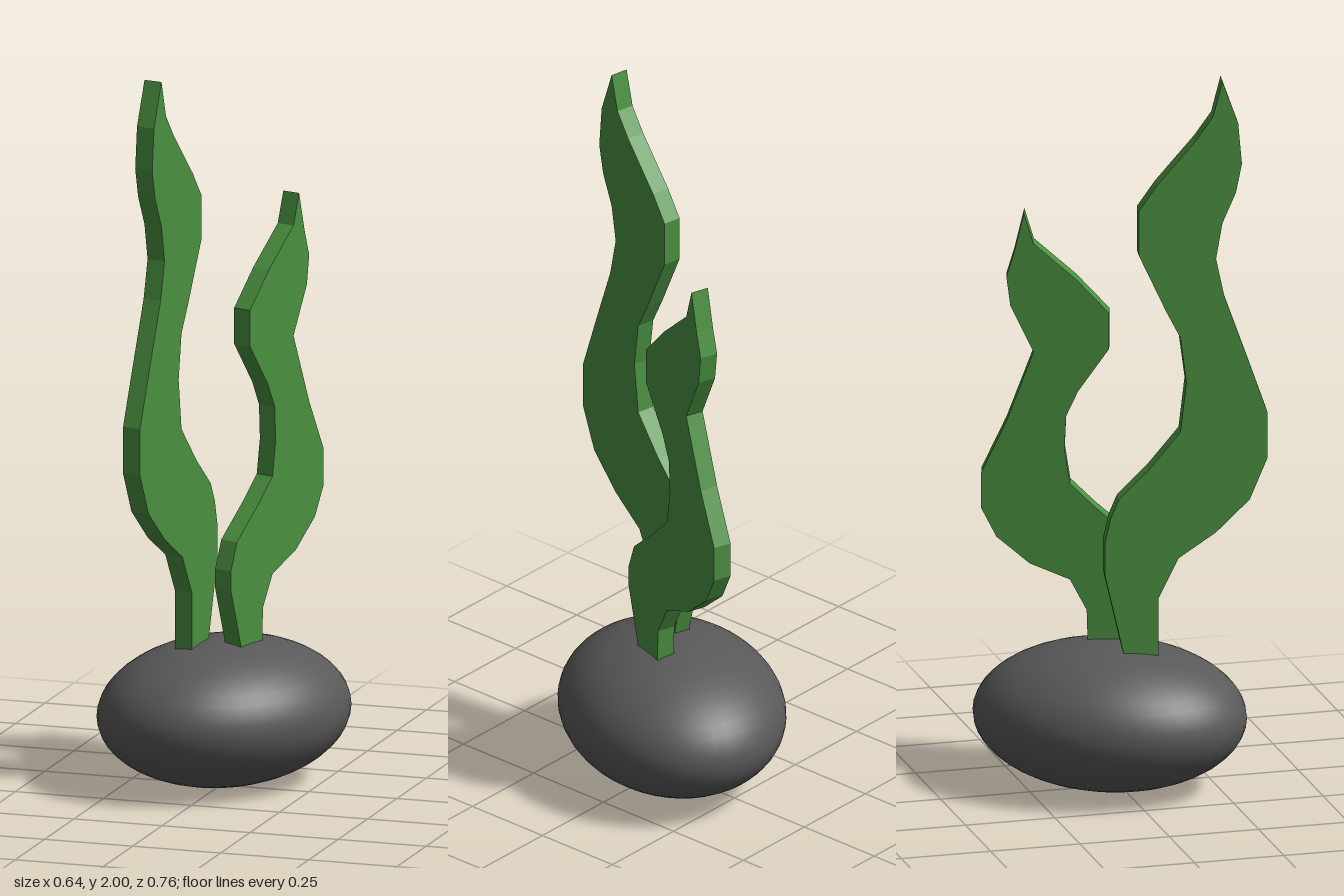
import * as THREE from 'three';

const THICKNESS = 0.052;

// Outlines as [z, y] in hundredths of a unit: up the front edge to the tip, down the back edge.
const TALL = [
  [9, 38], [9, 55], [14.3, 66], [24.3, 73], [33.3, 82], [38, 93.5], [38, 106.5], [33, 121],
  [26.5, 139.5], [24.3, 150], [26, 160], [29.6, 168.5], [31.2, 176.5], [30.2, 188], [26, 200],
  [23.5, 190], [19, 183.5], [8.5, 171], [3.7, 164], [3.7, 151.5], [11, 135.5], [14.8, 128],
  [16.4, 115.5], [14.8, 101.5], [6.3, 91], [-1.6, 83], [-3.9, 77.5], [-5.3, 71], [-5.3, 61.5], [0, 38],
];
const SHORT = [
  [3, 38], [8, 56], [8, 61.5], [5.3, 69], [-4.2, 77.5], [-10.6, 84], [-12, 93.5], [-11.6, 103],
  [-8.5, 110], [-0.5, 122], [-0.5, 132], [-9, 141.5], [-20, 151.5], [-22.5, 160],
  [-25, 149], [-27, 142], [-26, 134], [-20, 121], [-27, 101.5], [-33.5, 87], [-33.5, 77],
  [-29.6, 69], [-21, 61.5], [-10.6, 57], [-6.3, 48.5], [-6, 38],
];

// Flat wavy blade standing upright, turned by angle about the vertical axis
function blade(name, outline, x, degrees, material) {
  const angle = THREE.MathUtils.degToRad(degrees);
  const shift = (THICKNESS / 2) * Math.sin(angle);
  const points = outline.map(([z, y]) =>
    new THREE.Vector2((z / 100 - shift) / Math.cos(angle), y / 100));
  const geometry = new THREE.ExtrudeGeometry(new THREE.Shape(points), {
    depth: THICKNESS, bevelEnabled: false,
  });
  geometry.translate(0, 0, -THICKNESS / 2);
  const mesh = new THREE.Mesh(geometry, material);
  mesh.name = name;
  mesh.position.x = x;
  mesh.rotation.y = -Math.PI / 2 - angle;
  return mesh;
}

export function createModel() {
  const green = new THREE.MeshStandardMaterial({ color: 0x4a9040 });
  green.name = 'seaweedGreen';
  const grey = new THREE.MeshStandardMaterial({ color: 0x595959 });
  grey.name = 'stoneGrey';

  const group = new THREE.Group();
  group.name = 'seaweedOnRock';

  // Smooth flattened stone
  const rock = new THREE.Mesh(new THREE.SphereGeometry(1, 40, 24), grey);
  rock.name = 'rock';
  rock.scale.set(0.3, 0.202, 0.374);
  rock.rotation.y = -Math.PI / 6;
  rock.position.set(0, 0.203, -0.027);
  group.add(rock);

  // Two blades curling in opposite directions
  group.add(blade('tallBlade', TALL, -0.063, 9.8, green));
  group.add(blade('shortBlade', SHORT, 0.0525, 16.7, green));
  return group;
}
